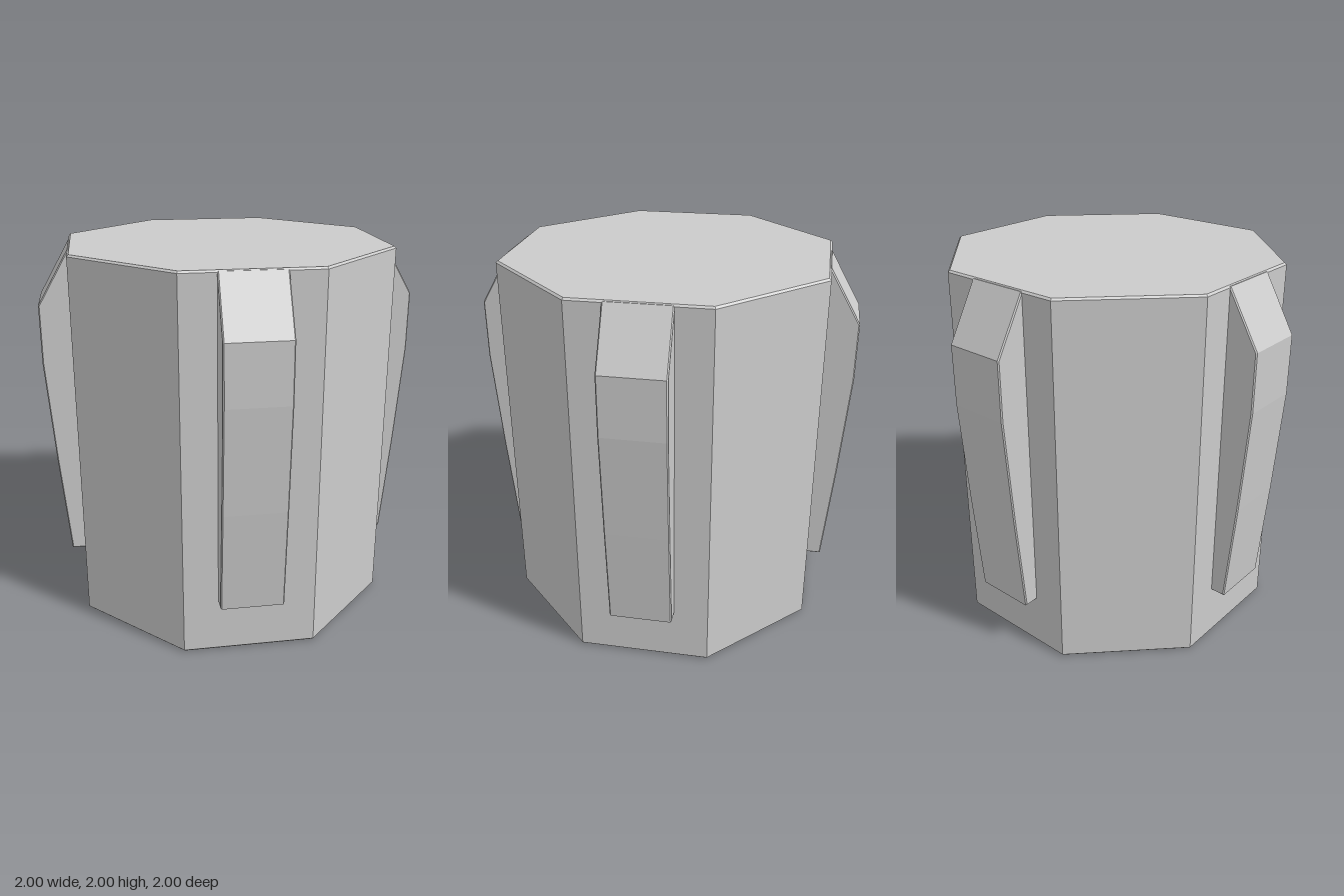
import * as THREE from 'three';

const material = new THREE.MeshStandardMaterial({ color: 0xcccccc, flatShading: true });

// Extrudes an outline to a full depth, with a fine chamfer kept inside the outline
function chamferedExtrude(points, depth, chamfer) {
  const shape = new THREE.Shape(points.map(([x, y]) => new THREE.Vector2(x, y)));
  const geometry = new THREE.ExtrudeGeometry(shape, {
    depth: depth - 2 * chamfer,
    bevelEnabled: true,
    bevelThickness: chamfer,
    bevelSize: chamfer,
    bevelOffset: -chamfer,
    bevelSegments: 1,
  });
  return geometry.translate(0, 0, chamfer);
}

export function createModel() {
  const model = new THREE.Group();
  model.name = 'octagonalKnob';

  // Eight-sided body, standing upright
  const a = 0.835, c = 0.345;
  const octagon = [[a, -c], [a, c], [c, a], [-c, a], [-a, c], [-a, -c], [-c, -a], [c, -a]];
  const bodyGeometry = chamferedExtrude(octagon, 2, 0.01).rotateX(-Math.PI / 2);
  const body = new THREE.Mesh(bodyGeometry, material);
  body.name = 'body';
  model.add(body);

  // Tapered grip rib, rooted slightly inside the body
  const ribWidth = 0.33;
  const ribProfile = [
    [0.79, 0.29], [0.912, 0.29], [0.96, 0.84], [1.0, 1.4],
    [1.0, 1.71], [0.835, 1.995], [0.79, 1.995],
  ];
  const ribGeometry = chamferedExtrude(ribProfile, ribWidth, 0.006).translate(0, 0, -ribWidth / 2);

  // One rib on each of the four main faces
  ['left', 'back', 'right', 'front'].forEach((side, i) => {
    const rib = new THREE.Mesh(ribGeometry, material);
    rib.name = `${side}Rib`;
    rib.rotation.y = (i * Math.PI) / 2;
    model.add(rib);
  });

  return model;
}
